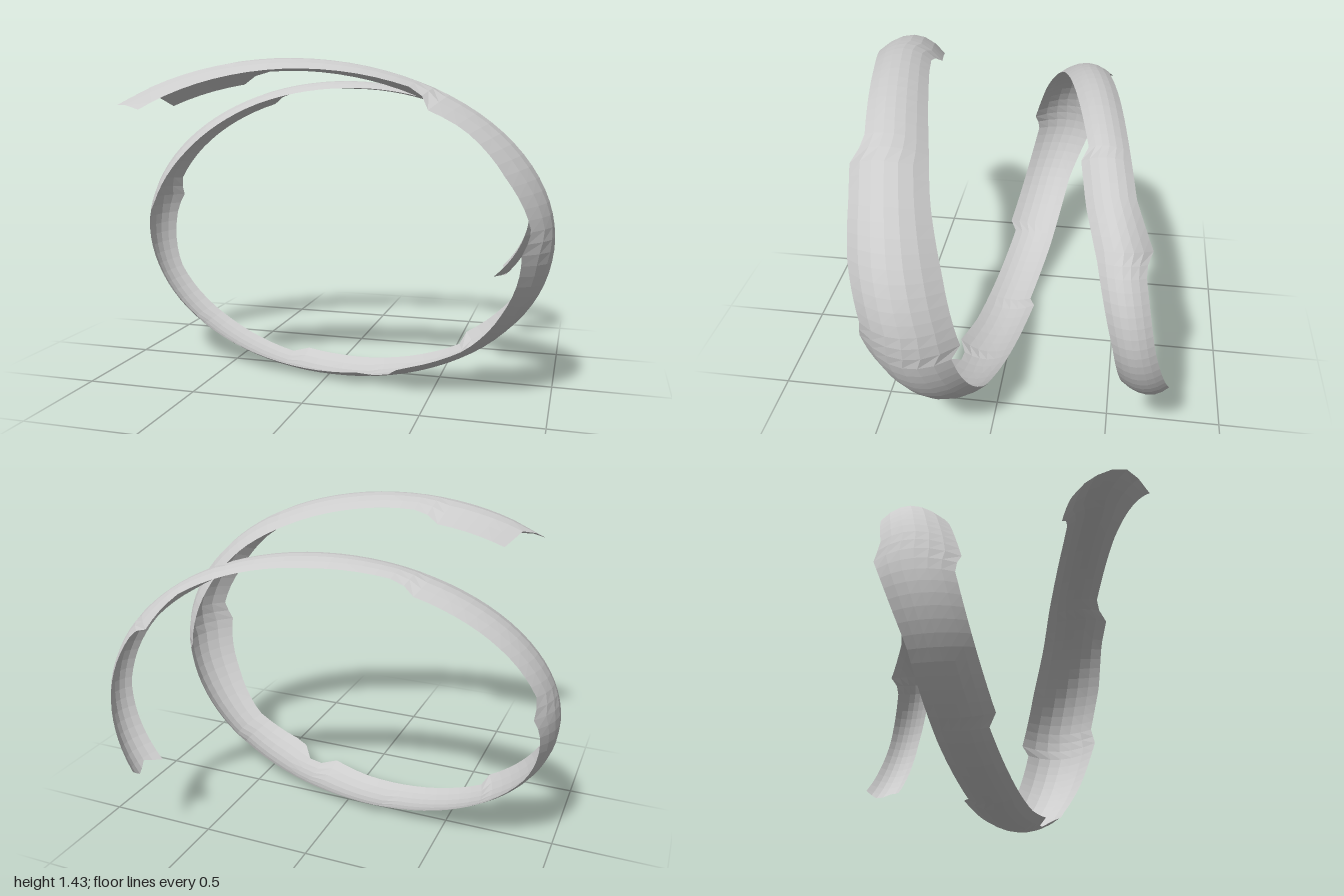
import * as THREE from 'three';

// Edge curves as [angle in degrees clockwise from the top, z], with ragged notches.
const frontEdge = [[-42, .75], [-36, .74], [0, .61], [31, .51], [34, .57], [46, .535], [65, .51], [86, .45], [90, .48],
  [115, .39], [135, .3], [152, .275], [156, .26], [159, .205], [164, .2], [167, .235], [180, .185], [221, .07],
  [224, .1], [270, -.02], [275, .005], [300, -.07], [330, -.18], [360, -.275], [384, -.35], [388, -.325],
  [403, -.36], [420, -.42], [450, -.5], [484, -.56]];
const backEdge = [[-42, .43], [-36, .42], [-14, .36], [-11, .395], [0, .365], [30, .265], [46, .22], [66, .15],
  [92, .075], [96, .105], [116, .06], [136, .015], [139, .05], [188, -.09], [191, -.06], [215, -.13], [245, -.2],
  [277, -.335], [282, -.305], [296, -.335], [334, -.42], [337, -.39], [360, -.455], [400, -.55], [417, -.63],
  [421, -.6], [450, -.66], [484, -.75]];
// How strongly the strip bulges outward
const bulge = [[-42, 4.5], [0, 4.5], [90, 2.8], [180, 4], [270, 2.2], [360, 6.5], [484, 5]];

function sample(table, t) {
  if (t <= table[0][0]) return table[0][1];
  for (let i = 1; i < table.length; i++) {
    const [a, va] = table[i - 1], [b, vb] = table[i];
    if (t <= b) return va + (vb - va) * (t - a) / (b - a);
  }
  return table[table.length - 1][1];
}

// Point on the strip: t runs along the spiral, v from front edge (0) to back edge (1)
function stripPoint(t, v) {
  const z = THREE.MathUtils.lerp(sample(frontEdge, t), sample(backEdge, t), v);
  const offset = z - (0.49 - 0.00237 * t);
  const r = 1.06 - 0.12 * t / 360 - sample(bulge, t) * offset * offset;
  const a = THREE.MathUtils.degToRad(t);
  return [-0.03 + r * Math.sin(a), 0.694 + 0.694 * r * Math.cos(a), z];
}

export function createModel() {
  const group = new THREE.Group();
  group.name = 'spiralPeel';
  const start = -36, end = 484, along = 130, across = 6;
  const positions = [], indices = [];
  for (let i = 0; i <= along; i++) {
    for (let j = 0; j <= across; j++) {
      let t = start + (end - start) * i / along;
      const v = j / across;
      if (i === 0) t -= 6 * Math.max(0, 1 - Math.abs(v - 0.33) * 3); // pointed front tip
      if (i === along) t -= [0, 1.5, 3, 1, 0, 1.5, 3][j]; // ragged rear end
      positions.push(...stripPoint(t, v));
      if (i < along && j < across) {
        const a = i * (across + 1) + j, b = a + across + 1;
        indices.push(a, a + 1, b, b, a + 1, b + 1);
      }
    }
  }
  const geometry = new THREE.BufferGeometry();
  geometry.setAttribute('position', new THREE.Float32BufferAttribute(positions, 3));
  geometry.setIndex(indices);
  geometry.computeVertexNormals();

  const strip = new THREE.Mesh(geometry, new THREE.MeshStandardMaterial({
    color: 0xcccccc, flatShading: true, side: THREE.DoubleSide }));
  strip.name = 'peelStrip';
  group.add(strip);
  return group;
}
